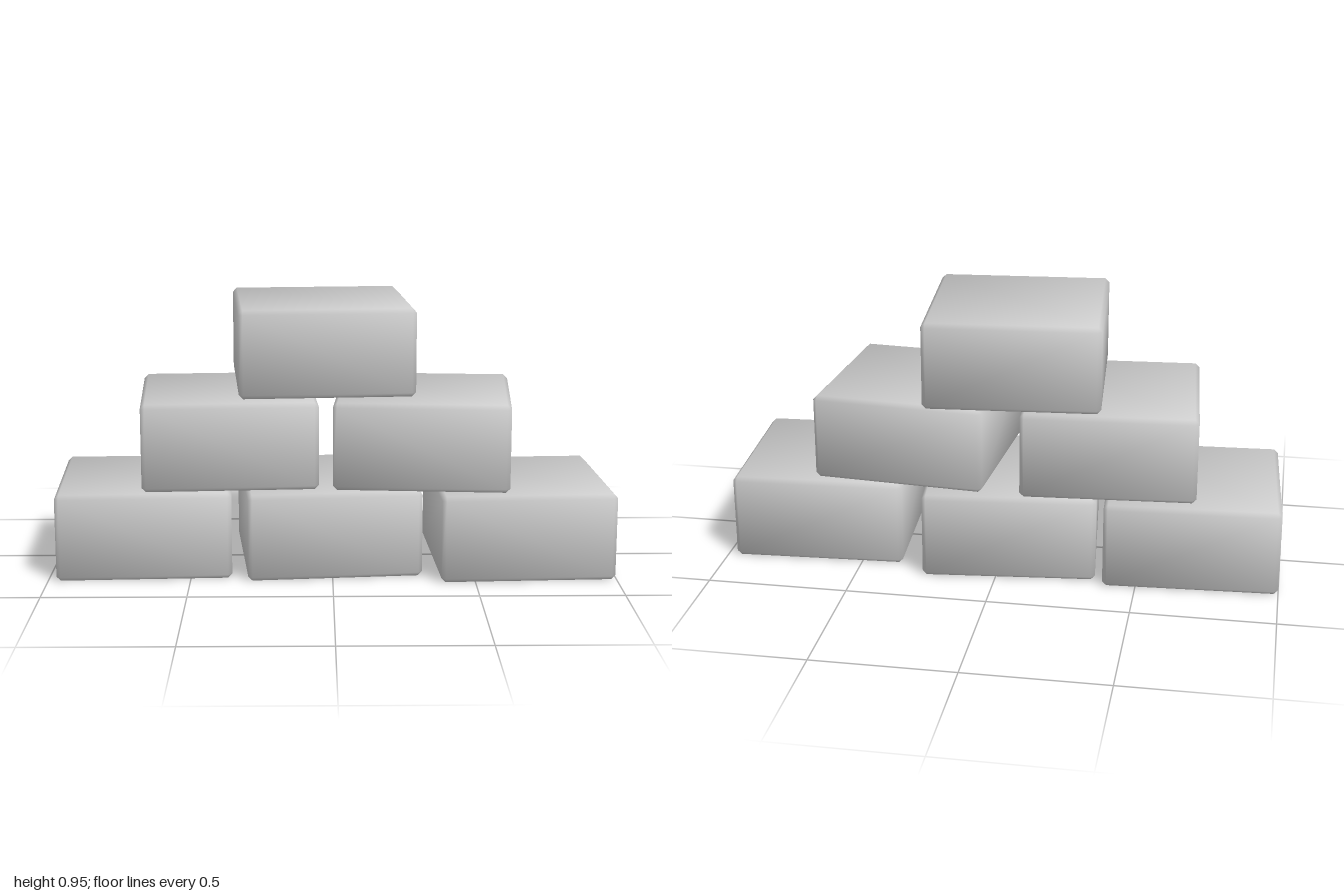
import * as THREE from 'three';
import { ConvexGeometry } from 'three/addons/geometries/ConvexGeometry.js';

const SIZE = [0.617, 0.309, 0.617];
const BEVEL = 0.015;
const ROW_PITCH = 0.322;

// Box with a single chamfer on every edge and soft normals that lean outward at the corners
function chamferedBlock() {
  const half = SIZE.map((s) => s / 2);
  const points = [];
  for (const sx of [-1, 1]) for (const sy of [-1, 1]) for (const sz of [-1, 1]) {
    const signs = [sx, sy, sz];
    for (let face = 0; face < 3; face++) {
      points.push(new THREE.Vector3(...signs.map((s, i) => s * (half[i] - (i === face ? 0 : BEVEL)))));
    }
  }
  const geometry = new ConvexGeometry(points);
  const pos = geometry.attributes.position;
  const normal = new THREE.Vector3();
  for (let v = 0; v < pos.count; v++) {
    const p = [pos.getX(v), pos.getY(v), pos.getZ(v)];
    // the face a corner point lies on weighs more than its two neighbours
    normal.set(...p.map((c, i) => Math.sign(c) * (Math.abs(c) > half[i] - BEVEL / 2 ? 2.56 : 1))).normalize();
    geometry.attributes.normal.setXYZ(v, normal.x, normal.y, normal.z);
  }
  return geometry;
}

export function createModel() {
  const group = new THREE.Group();
  group.name = 'brickPyramid';
  const material = new THREE.MeshStandardMaterial({ color: 0xcccccc });
  const geometry = chamferedBlock();

  // name, row, x, z, turn in degrees
  const bricks = [
    ['bottomRightBrick', 0, -0.677, 0.002, 2.8],
    ['bottomMiddleBrick', 0, -0.018, -0.004, 5.5],
    ['bottomLeftBrick', 0, 0.674, 0.035, 2.8],
    ['middleRightBrick', 1, -0.375, 0.005, 3.7],
    ['middleLeftBrick', 1, 0.332, 0.023, -4.7],
    ['topBrick', 2, -0.038, -0.03, 4.2],
  ];
  for (const [name, row, x, z, turn] of bricks) {
    const brick = new THREE.Mesh(geometry, material);
    brick.name = name;
    brick.position.set(x, row * ROW_PITCH + SIZE[1] / 2, z);
    brick.rotation.y = THREE.MathUtils.degToRad(turn);
    group.add(brick);
  }
  return group;
}
